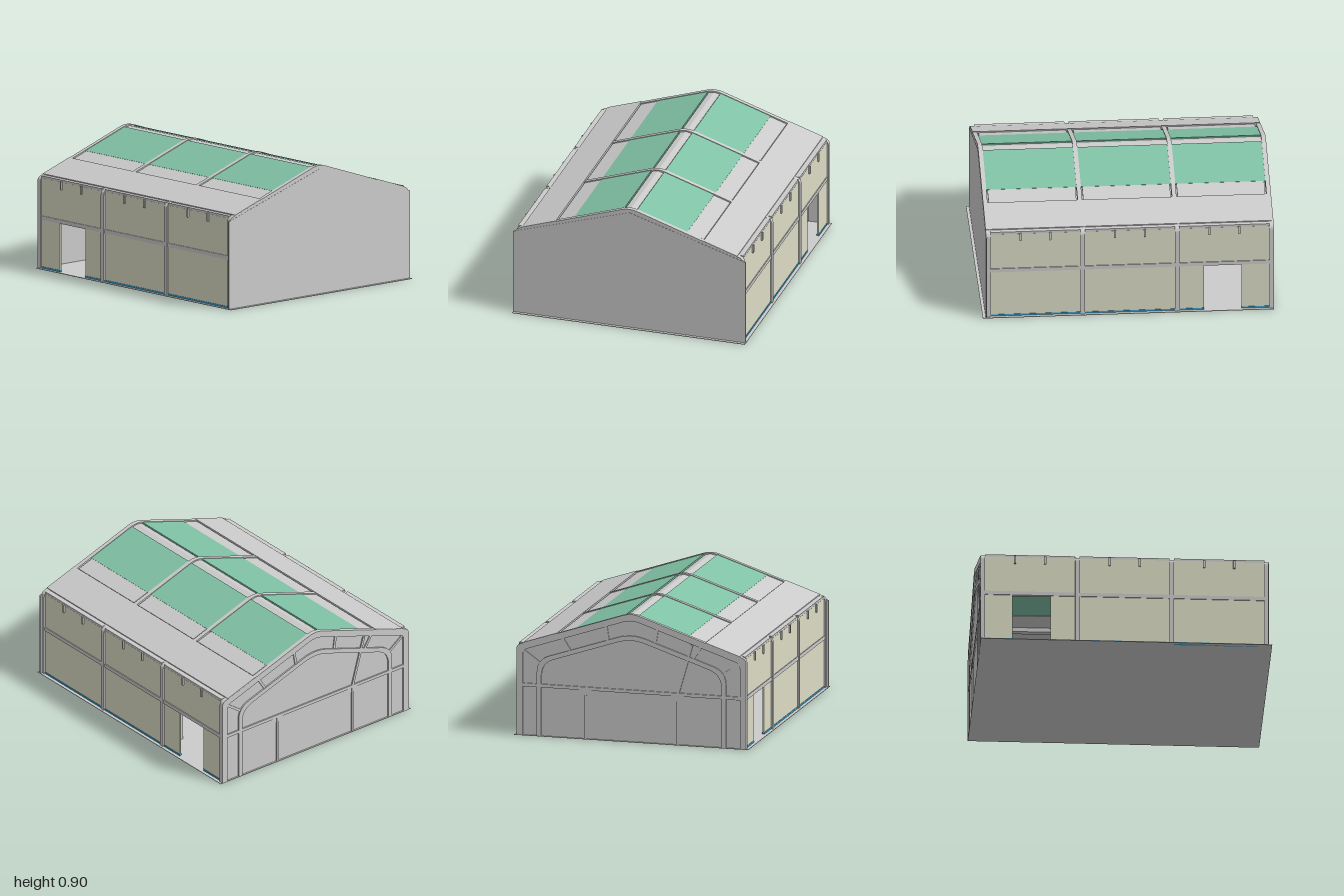
import * as THREE from 'three';

const mat = (color, side = THREE.FrontSide) =>
  new THREE.MeshStandardMaterial({ color, side, flatShading: true });
const GREY = mat(0xcccccc);
const GREEN = mat(0x80c2a5);
const CREAM = mat(0xdcdcc6);
const BLUE = mat(0x3aa0cc);

const FRAMES = [0.962, 0.312, -0.336, -0.985]; // z of the portal frames
const DEPTH = 0.031;                            // thickness of a frame along z
const BAYS = [0, 1, 2].map((i) => [FRAMES[i + 1] + DEPTH / 2, FRAMES[i] - DEPTH / 2]);
const roofY = (x) => 0.91 - 0.335 * Math.abs(x);

export function createModel() {
  const model = new THREE.Group();

  const add = (name, geometry, material = GREY, parent = model) => {
    const mesh = new THREE.Mesh(geometry, material);
    mesh.name = name;
    parent.add(mesh);
    return mesh;
  };

  // Box given by its limits
  const box = (name, x0, x1, y0, y1, z0, z1, material = GREY, parent = model) => {
    const m = add(name, new THREE.BoxGeometry(Math.abs(x1 - x0), y1 - y0, z1 - z0), material, parent);
    m.position.set((x0 + x1) / 2, (y0 + y1) / 2, (z0 + z1) / 2);
    return m;
  };

  // Outline in x and y, extruded from z0 to z1
  const prism = (name, shape, z0, z1, material = GREY, parent = model) => {
    const s = Array.isArray(shape) ? new THREE.Shape(shape.map((p) => new THREE.Vector2(...p))) : shape;
    const g = new THREE.ExtrudeGeometry(s, { depth: z1 - z0, bevelEnabled: false, curveSegments: 8 });
    return add(name, g.translate(0, 0, z0), material, parent);
  };

  // Square bar between two points in the plane of a frame
  const bar = (name, a, b, z, w, d, parent) => {
    const dx = b[0] - a[0], dy = b[1] - a[1];
    const m = add(name, new THREE.BoxGeometry(Math.hypot(dx, dy), w, d), GREY, parent);
    m.position.set((a[0] + b[0]) / 2, (a[1] + b[1]) / 2, z);
    m.rotation.z = Math.atan2(dy, dx);
  };

  // Gabled arch with rounded eaves and ridge, as a list of points from right foot to left foot
  const archLine = (hw, eave, ridge, r, rr) => {
    const k = (ridge - eave) / hw;
    const p = new THREE.Path();
    p.moveTo(hw, 0).lineTo(hw, eave - r);
    p.quadraticCurveTo(hw, eave, hw - r, eave + k * r);
    p.lineTo(rr, ridge - k * rr);
    p.quadraticCurveTo(0, ridge, -rr, ridge - k * rr);
    p.lineTo(-hw + r, eave + k * r);
    p.quadraticCurveTo(-hw, eave, -hw, eave - r);
    p.lineTo(-hw, 0);
    return p.getPoints(8);
  };
  const archShape = (hw, eave, ridge, r, rr, t) =>
    new THREE.Shape([
      ...archLine(hw, eave, ridge, r, rr),
      ...archLine(hw - t, eave - t * 0.75, ridge - t * 1.05, r, rr).reverse(),
    ]);

  // Floor
  box('floor', -0.835, 0.835, 0, 0.004, -1, 1);

  // Portal frames: outer arch, inner arch and the struts between them
  const outer = archShape(0.82, 0.635, 0.91, 0.03, 0.06, 0.045);
  const inner = archShape(0.675, 0.54, 0.765, 0.09, 0.1, 0.032);
  for (const z of FRAMES) {
    const frame = new THREE.Group();
    frame.name = 'portalFrame';
    model.add(frame);
    prism('outerArch', outer, z - DEPTH / 2, z + DEPTH / 2, GREY, frame);
    prism('innerArch', inner, z - DEPTH / 2 + 0.002, z + DEPTH / 2 - 0.002, GREY, frame);
    for (const s of [-1, 1]) {
      bar('strut', [s * 0.185, 0.82], [s * 0.165, 0.69], z, 0.018, 0.02, frame);
      bar('strut', [s * 0.5, 0.71], [s * 0.43, 0.6], z, 0.018, 0.02, frame);
      bar('eaveStrut', [s * 0.79, 0.61], [s * 0.65, 0.51], z, 0.018, 0.02, frame);
      bar('sideStrut', [s * 0.8, 0.355], [s * 0.66, 0.355], z, 0.022, 0.02, frame);
    }
  }

  // Gable walls
  const gable = (w, eave, ridge) => [[-w, 0], [w, 0], [w, eave], [0, ridge], [-w, eave]];
  prism('frontWall', gable(0.835, 0.615, 0.875), 0.97, 0.979);
  prism('backWall', gable(0.815, 0.615, 0.872), -0.988, -0.982);

  // Rail, posts and brace on the back wall
  box('backRail', -0.8, 0.8, 0.345, 0.368, -0.998, -0.972);
  for (const s of [-1, 1]) {
    box('backPost', s * 0.33 - 0.009, s * 0.33 + 0.009, 0, 0.35, -0.998, -0.972);
    prism('postBracket', [[s * 0.33 - 0.05, 0.346], [s * 0.33, 0.3], [s * 0.33 + 0.05, 0.346]], -0.994, -0.974);
  }
  bar('backBrace', [-0.43, 0.71], [-0.33, 0.36], -0.985, 0.018, 0.024, model);

  // Sloped roof slab between two x limits
  const slab = (name, s, x0, x1, drop, t, z0, z1, material) =>
    prism(name, [
      [s * x0, roofY(x0) - drop], [s * x1, roofY(x1) - drop],
      [s * x1, roofY(x1) - drop - t], [s * x0, roofY(x0) - drop - t],
    ], z0, z1, material);

  for (const s of [-1, 1]) {
    // Lower roof sheet running over all frames
    slab('lowerRoofSheet', s, 0.53, 0.772, -0.003, 0.02, -1, 0.977, GREY);

    BAYS.forEach(([z0, z1], bay) => {
      // Upper roof of the bay
      slab('middleRoofPanel', s, 0.405, 0.522, 0.005, 0.015, z0 + 0.008, z1 - 0.008, GREY);
      slab('greenRoofPanel', s, 0.046, 0.405, 0.004, 0.012, z0, z1, GREEN);
      slab('purlin', s, 0.515, 0.54, 0.02, 0.03, z0, z1, GREY);
      slab('purlin', s, 0.03, 0.055, 0.02, 0.03, z0, z1, GREY);

      // Eave beam
      box('eaveBeam', s * 0.765, s * 0.808, 0.62, 0.648, z0, z1);

      // Side wall with a doorway in the rear bay
      const parts = bay === 2 ? [[z0, -0.78], [-0.52, z1]] : [[z0, z1]];
      for (const [a, b] of parts) {
        box('lowerWallPanel', s * 0.797, s * 0.809, 0.016, 0.345, a, b, CREAM);
        box('wallBaseStrip', s * 0.795, s * 0.812, 0, 0.016, a, b, BLUE);
      }
      box('upperWallPanel', s * 0.797, s * 0.809, 0.365, 0.632, z0, z1, CREAM);
      box('wallRail', s * 0.79, s * 0.815, 0.343, 0.37, z0, z1);

      // Small hangers under the eave
      for (const f of [1 / 3, 2 / 3]) {
        const z = z0 + (z1 - z0) * f;
        box('eaveHanger', s * 0.795, s * 0.82, 0.58, 0.638, z - 0.007, z + 0.007);
      }
    });
  }

  // Ridge cap in each bay
  for (const [z0, z1] of BAYS) {
    prism('ridgeCap', [
      [-0.04, 0.875], [0.04, 0.875], [0.04, 0.884], [0, 0.893], [-0.04, 0.884],
    ], z0, z1);
  }

  return model;
}
